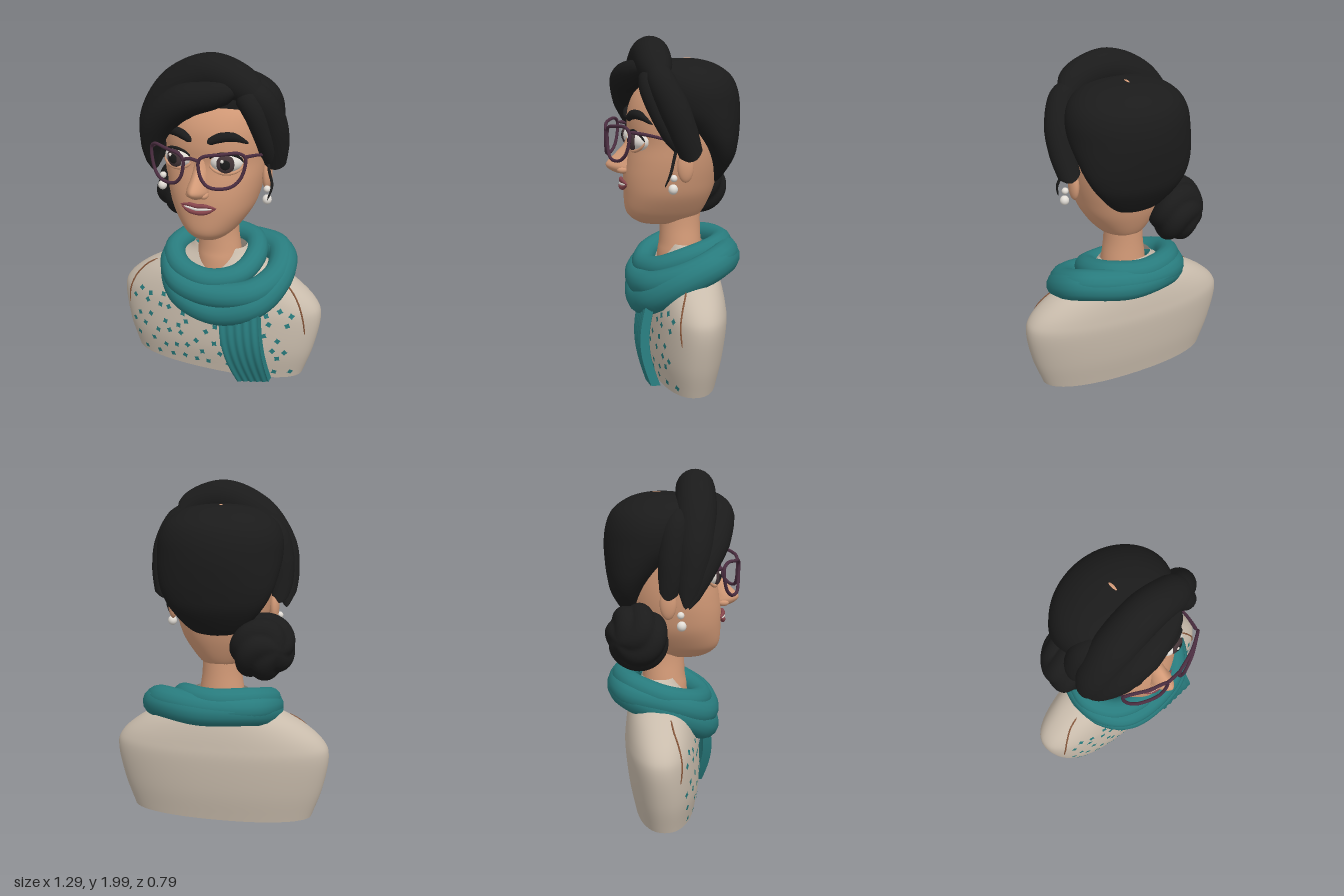
import * as THREE from 'three';
import { mergeGeometries } from 'three/addons/utils/BufferGeometryUtils.js';

const mat = (name, color, side = THREE.FrontSide) => Object.assign(new THREE.MeshStandardMaterial({ color, side }), { name });
const V = (p) => new THREE.Vector3(...p);

// Stacked oval cross-sections; each row is [y, halfWidth, frontZ, backZ]
function profile(rows, n) {
  const a = new THREE.CatmullRomCurve3(rows.map((r) => V([r[0], r[1], 0])), false, 'catmullrom', 0.5);
  const b = new THREE.CatmullRomCurve3(rows.map((r) => V([r[2], r[3], 0])), false, 'catmullrom', 0.5);
  const at = (t) => {
    const p = a.getPoint(t), q = b.getPoint(t);
    return [p.x, Math.max(p.y, 0.001), (q.x + q.y) / 2, (q.x - q.y) / 2];
  };
  // Depth of the front surface at x, y
  const frontZ = (x, y) => {
    let lo = 0, hi = 1;
    for (let i = 0; i < 30; i++) {
      const m = (lo + hi) / 2;
      if (at(m)[0] < y) lo = m; else hi = m;
    }
    const [, w, zc, d] = at(lo);
    return zc + d * Math.pow(Math.max(0, 1 - Math.pow(Math.abs(x) / w, n)), 1 / n);
  };
  const geometry = (segs = 48, steps = 40) => {
    const pos = [], idx = [];
    const pw = (v) => Math.sign(v) * Math.pow(Math.abs(v), 2 / n);
    for (let i = 0; i <= steps; i++) {
      const [y, w, zc, d] = at(i / steps);
      for (let j = 0; j < segs; j++) {
        const th = (j / segs) * Math.PI * 2;
        pos.push(w * pw(Math.cos(th)), y, zc + d * pw(Math.sin(th)));
        if (i === steps) continue;
        const k = (j + 1) % segs, p = i * segs, q = p + segs;
        idx.push(p + j, q + j, q + k, p + j, q + k, p + k);
      }
    }
    const g = new THREE.BufferGeometry();
    g.setAttribute('position', new THREE.Float32BufferAttribute(pos, 3));
    g.setIndex(idx);
    g.computeVertexNormals();
    return g;
  };
  return { frontZ, geometry };
}

// Tube with a radius per point and rounded, closed ends
function sweep(points, radii, segs = 40, sides = 14) {
  const curve = new THREE.CatmullRomCurve3(points.map(V));
  const g = new THREE.TubeGeometry(curve, segs, 1, sides, false);
  const p = g.attributes.position, v = new THREE.Vector3();
  for (let i = 0; i <= segs; i++) {
    const u = i / segs, c = curve.getPointAt(u), t = curve.getUtoTmapping(u) * (radii.length - 1);
    const k = Math.min(Math.floor(t), radii.length - 2);
    const end = Math.min(1, Math.sqrt(Math.min(u, 1 - u) / 0.08));
    const r = THREE.MathUtils.lerp(radii[k], radii[k + 1], t - k) * end;
    for (let j = 0; j <= sides; j++) {
      const n = i * (sides + 1) + j;
      v.fromBufferAttribute(p, n).sub(c).multiplyScalar(r).add(c);
      p.setXYZ(n, v.x, v.y, v.z);
    }
  }
  return g;
}
const loop = (points, r, segs = 72) => new THREE.TubeGeometry(new THREE.CatmullRomCurve3(points.map(V), true), segs, r, 14, true);

export function createModel() {
  const model = new THREE.Group();
  const skin = mat('skin', 0xd39a77), hair = mat('black hair', 0x1b1b1b), teal = mat('teal wool', 0x287b7d);
  const knit = mat('beige knit', 0xc9bcac, THREE.DoubleSide), lip = mat('lip', 0x88464d), white = mat('white', 0xe2ddd6);
  const frame = mat('plum frame', 0x4a2d40), iris = mat('iris', 0x453639), brown = mat('brown seam', 0x86563a);
  const add = (name, geo, material, parent = model) => {
    const m = new THREE.Mesh(geo, material);
    m.name = name;
    parent.add(m);
    return m;
  };
  const ball = (name, material, p, s, parent) => {
    const m = add(name, new THREE.SphereGeometry(1, 28, 20), material, parent);
    m.position.set(...p);
    m.scale.set(...s);
    return m;
  };

  // Sweater, open at the bottom
  const body = profile([[0.02, 0.55, 0.14, -0.23], [0.2, 0.61, 0.165, -0.265], [0.4, 0.645, 0.157, -0.285], [0.5, 0.615, 0.143, -0.28],
    [0.6, 0.5, 0.12, -0.265], [0.68, 0.35, 0.085, -0.24], [0.75, 0.21, 0.05, -0.2], [0.8, 0.16, 0.03, -0.18]], 2.2);
  add('sweater', body.geometry(64), knit);

  // Scattered four-pointed flecks on the chest
  let seed = 7;
  const rnd = () => (seed = (seed * 16807) % 2147483647) / 2147483647;
  const star = new THREE.Shape();
  for (let i = 0; i < 8; i++) {
    const r = i % 2 ? 0.013 : 0.021, a = (i * Math.PI) / 4;
    star[i ? 'lineTo' : 'moveTo'](r * Math.cos(a), r * Math.sin(a));
  }
  const flecks = [], o = new THREE.Object3D();
  for (let row = 0; row < 6; row++) for (let col = 0; col < 12; col++) {
    const x = (col - 5.5 + (row % 2 ? 0.22 : -0.22)) * 0.092 + (rnd() - 0.5) * 0.045;
    const y = 0.075 + row * 0.08 + (rnd() - 0.5) * 0.045;
    if (Math.abs(x) > 0.53) continue;
    const z = body.frontZ(x, y), e = 0.01;
    const n = new THREE.Vector3((z - body.frontZ(x + e, y)) / e, (z - body.frontZ(x, y + e)) / e, 1).normalize();
    o.position.set(x, y, z).addScaledVector(n, 0.004);
    o.lookAt(o.position.clone().add(n));
    o.rotateZ(rnd() * 1.5);
    o.updateMatrix();
    flecks.push(new THREE.ShapeGeometry(star).applyMatrix4(o.matrix));
  }
  add('sweaterFlecks', mergeGeometries(flecks), teal);

  // Scarf: wound loops and a pleated hanging tail
  const scarf = new THREE.Group();
  scarf.name = 'scarf';
  model.add(scarf);
  add('upperLoop', loop([[0, 0.655, 0.17], [-0.2, 0.69, 0.11], [-0.285, 0.74, -0.04], [-0.2, 0.785, -0.22], [0.0, 0.79, -0.295],
    [0.17, 0.785, -0.22], [0.225, 0.74, -0.05], [0.17, 0.68, 0.1]], 0.067), teal, scarf);
  add('middleLoop', loop([[0.05, 0.58, 0.205], [-0.18, 0.61, 0.16], [-0.285, 0.69, 0], [-0.22, 0.735, -0.24], [0.04, 0.745, -0.31],
    [0.33, 0.755, -0.21], [0.38, 0.68, -0.02], [0.28, 0.61, 0.15]], 0.078), teal, scarf);
  add('lowerLoop', loop([[0.08, 0.472, 0.195], [-0.16, 0.53, 0.16], [-0.28, 0.65, -0.02], [-0.2, 0.72, -0.24], [0.08, 0.725, -0.305],
    [0.35, 0.73, -0.19], [0.385, 0.645, 0], [0.29, 0.535, 0.15]], 0.088), teal, scarf);
  const tail = new THREE.BoxGeometry(1, 1, 1, 30, 14, 1), tp = tail.attributes.position;
  for (let i = 0; i < tp.count; i++) {
    const u = tp.getX(i) + 0.5, v = tp.getY(i) + 0.5, w = 1 - v;
    const left = 0.1 + 0.11 * w * w, right = 0.34 + 0.07 * w;
    tp.setXYZ(i, THREE.MathUtils.lerp(left, right, u), THREE.MathUtils.lerp(0.005 + 0.045 * u, 0.5, v),
      0.165 + 0.02 * v + 0.045 * Math.sin(Math.PI * v) + 0.004 * Math.sin(u * Math.PI * 10) + tp.getZ(i) * 0.05);
  }
  tail.computeVertexNormals();
  add('scarfTail', tail, teal, scarf);

  // Neck and head
  add('neck', profile([[0.65, 0.14, 0.09, -0.18], [0.74, 0.136, 0.085, -0.18], [0.8, 0.13, 0.075, -0.175], [0.9, 0.117, 0.07, -0.17],
    [1.02, 0.115, 0.07, -0.17]], 2).geometry(36, 16), skin);
  const head = profile([[0.908, 0.004, 0.09, 0.07], [0.915, 0.075, 0.18, -0.08], [0.95, 0.125, 0.245, -0.15], [1.0, 0.17, 0.277, -0.19],
    [1.1, 0.233, 0.285, -0.235], [1.2, 0.265, 0.285, -0.265], [1.3, 0.285, 0.272, -0.29], [1.4, 0.295, 0.255, -0.31],
    [1.5, 0.302, 0.262, -0.32], [1.6, 0.303, 0.25, -0.32], [1.7, 0.285, 0.2, -0.29], [1.8, 0.2, 0.1, -0.2], [1.84, 0.01, -0.04, -0.06]], 2.2);
  add('head', head.geometry(56, 60), skin);
  add('nose', profile([[1.205, 0.01, 0.28, 0.19], [1.222, 0.05, 0.34, 0.19], [1.25, 0.06, 0.382, 0.19], [1.28, 0.055, 0.385, 0.19],
    [1.33, 0.045, 0.335, 0.18], [1.38, 0.045, 0.287, 0.16], [1.43, 0.05, 0.263, 0.14], [1.48, 0.04, 0.25, 0.14]], 1.7).geometry(32, 28), skin);

  // Parting that shows at the crown
  ball('crownParting', skin, [0, 1.866, -0.09], [0.011, 0.01, 0.036]);

  // Mouth
  const onFace = (pts, lift) => pts.map(([x, y]) => [x, y, head.frontZ(x, y) + lift]);
  add('upperLip', sweep(onFace([[-0.11, 1.16], [-0.045, 1.172], [0, 1.168], [0.045, 1.172], [0.11, 1.16]], 0.012), [0.004, 0.012, 0.013, 0.012, 0.004]), lip);
  add('lowerLip', sweep(onFace([[-0.105, 1.157], [-0.05, 1.136], [0, 1.131], [0.05, 1.136], [0.105, 1.157]], 0.012), [0.004, 0.014, 0.016, 0.014, 0.004]), lip);
  add('teeth', sweep(onFace([[-0.085, 1.156], [0, 1.151], [0.085, 1.156]], 0.015), [0.004, 0.011, 0.004]), white);

  // Paired features
  const glasses = new THREE.Group();
  glasses.name = 'glasses';
  model.add(glasses);
  for (const s of [-1, 1]) {
    const side = s > 0 ? 'left' : 'right';
    const mir = (pts) => pts.map(([x, y, z]) => [s * x, y, z]);
    add(side + 'ShoulderSeam', sweep([[0.4, 0.645], [0.47, 0.6], [0.53, 0.53], [0.567, 0.44], [0.583, 0.33]]
      .map(([x, y]) => [s * x, y, body.frontZ(x, y) + 0.002]), [0.005, 0.005, 0.005, 0.005, 0.004], 40, 8), brown);
    ball(side + 'Nostril', skin, [s * 0.042, 1.238, 0.295], [0.024, 0.022, 0.035]);
    ball(side + 'Ear', skin, [s * 0.302, 1.29, -0.025], [0.028, 0.092, 0.047]);
    ball(side + 'SmallPearl', white, [s * 0.325, 1.228, 0.045], [0.02, 0.02, 0.02]);
    ball(side + 'LargePearl', white, [s * 0.328, 1.167, 0.05], [0.027, 0.029, 0.027]);
    add(side + 'Eyebrow', sweep(onFace(mir([[0.045, 1.53], [0.11, 1.562], [0.18, 1.565], [0.25, 1.52]]), 0), [0.018, 0.028, 0.026, 0.006]), hair);

    const eye = new THREE.Group();
    eye.name = side + 'Eye';
    eye.position.set(s * 0.14, 1.42, 0.207);
    eye.rotation.y = s * 0.25;
    model.add(eye);
    ball('eyeWhite', white, [0, 0, 0], [0.094, 0.06, 0.064], eye);
    ball('iris', iris, [0, 0, 0.047], [0.052, 0.052, 0.022], eye);
    ball('pupil', hair, [0, 0, 0.062], [0.03, 0.03, 0.01], eye);
    ball('eyeHighlight', white, [-0.017, 0.02, 0.067], [0.01, 0.01, 0.006], eye);
    const lid = (dir) => [0, 1, 2, 3, 4, 5, 6].map((i) => {
      const a = (i / 6) * Math.PI;
      return [0.096 * Math.cos(a), dir * 0.057 * Math.sin(a), 0.008 + 0.032 * Math.sin(a)];
    });
    add('upperLashes', sweep(lid(1), [0.005, 0.009, 0.005], 30, 8), hair, eye);
    add('lowerLid', sweep(lid(-1), [0.006, 0.011, 0.006], 30, 8), skin, eye);

    const rim = [[0.045, 1.46], [0.065, 1.488], [0.16, 1.505], [0.25, 1.508], [0.278, 1.48], [0.256, 1.365], [0.205, 1.318], [0.105, 1.318], [0.06, 1.365]];
    add(side + 'Rim', loop(rim.map(([x, y]) => [s * x, y, 0.385 - 1.3 * x * x]), 0.0095), frame, glasses);
    add(side + 'Arm', sweep(mir([[0.272, 1.485, 0.285], [0.3, 1.465, 0.17], [0.318, 1.42, 0]]), [0.011, 0.009, 0.008], 24, 8), frame, glasses);
  }
  add('bridge', sweep([[-0.05, 1.463, 0.382], [0, 1.475, 0.385], [0.05, 1.463, 0.382]], [0.01, 0.01, 0.01], 16, 8), frame, glasses);

  // Hair: cap, swept locks, loose strand and bun
  add('hairCap', profile([[1.15, 0.02, -0.225, -0.245], [1.18, 0.14, -0.19, -0.28], [1.3, 0.255, -0.14, -0.355], [1.4, 0.315, -0.075, -0.38],
    [1.5, 0.345, 0.03, -0.392], [1.6, 0.36, 0.15, -0.395], [1.7, 0.355, 0.19, -0.38], [1.78, 0.315, 0.19, -0.34], [1.84, 0.23, 0.14, -0.255],
    [1.868, 0.12, 0.04, -0.16], [1.873, 0.005, -0.06, -0.07]], 2).geometry(64, 60), hair);
  add('topLock', sweep([[0.29, 1.74, 0.11], [0.2, 1.84, 0.13], [0.02, 1.888, 0.13], [-0.18, 1.79, 0.13], [-0.31, 1.61, 0.12], [-0.35, 1.44, 0.1],
    [-0.36, 1.27, 0.07]], [0.06, 0.1, 0.112, 0.118, 0.105, 0.078, 0.035], 60, 24), hair);
  add('frontLock', sweep([[0.2, 1.82, 0.18], [0.06, 1.79, 0.23], [-0.1, 1.745, 0.25], [-0.25, 1.62, 0.22], [-0.335, 1.46, 0.16], [-0.365, 1.27, 0.09]],
    [0.05, 0.078, 0.098, 0.094, 0.065, 0.02], 60, 24), hair);
  add('rightSideLock', sweep([[-0.2, 1.78, 0.06], [-0.29, 1.7, 0.02], [-0.33, 1.56, 0], [-0.335, 1.43, -0.01], [-0.325, 1.31, -0.03]],
    [0.06, 0.08, 0.08, 0.07, 0.04], 48, 24), hair);
  add('leftLock', sweep([[0.2, 1.82, 0.12], [0.29, 1.76, 0.11], [0.345, 1.62, 0.05], [0.35, 1.48, -0.005], [0.33, 1.32, -0.065]],
    [0.06, 0.08, 0.086, 0.08, 0.062], 48, 24), hair);
  add('leftFrontLock', sweep([[0.2, 1.81, 0.16], [0.27, 1.72, 0.165], [0.31, 1.58, 0.12], [0.325, 1.46, 0.06], [0.32, 1.36, 0]],
    [0.06, 0.062, 0.053, 0.047, 0.02], 48, 20), hair);
  add('looseStrand', sweep([[0.315, 1.43, 0.02], [0.335, 1.34, 0.045], [0.362, 1.26, 0.07], [0.345, 1.18, 0.1]], [0.009, 0.009, 0.008, 0.004], 24, 8), hair);
  const bunGeo = new THREE.SphereGeometry(1, 64, 40), bp = bunGeo.attributes.position, v = new THREE.Vector3();
  for (let i = 0; i < bp.count; i++) {
    // Spiral ridges twisting around the bun
    v.fromBufferAttribute(bp, i);
    const rho = Math.hypot(v.x, v.y);
    const ridge = Math.abs(Math.sin(2.5 * Math.atan2(v.y, v.x) + 3 * v.z));
    v.multiplyScalar(1 - 0.11 * Math.min(1, rho * 1.5) * (1 - ridge));
    bp.setXYZ(i, v.x * 0.205, v.y * 0.195, v.z * 0.16);
  }
  bunGeo.computeVertexNormals();
  const bun = add('bun', bunGeo, hair);
  bun.position.set(-0.268, 1.092, -0.2);
  bun.rotation.y = Math.PI / 4;

  return model;
}
